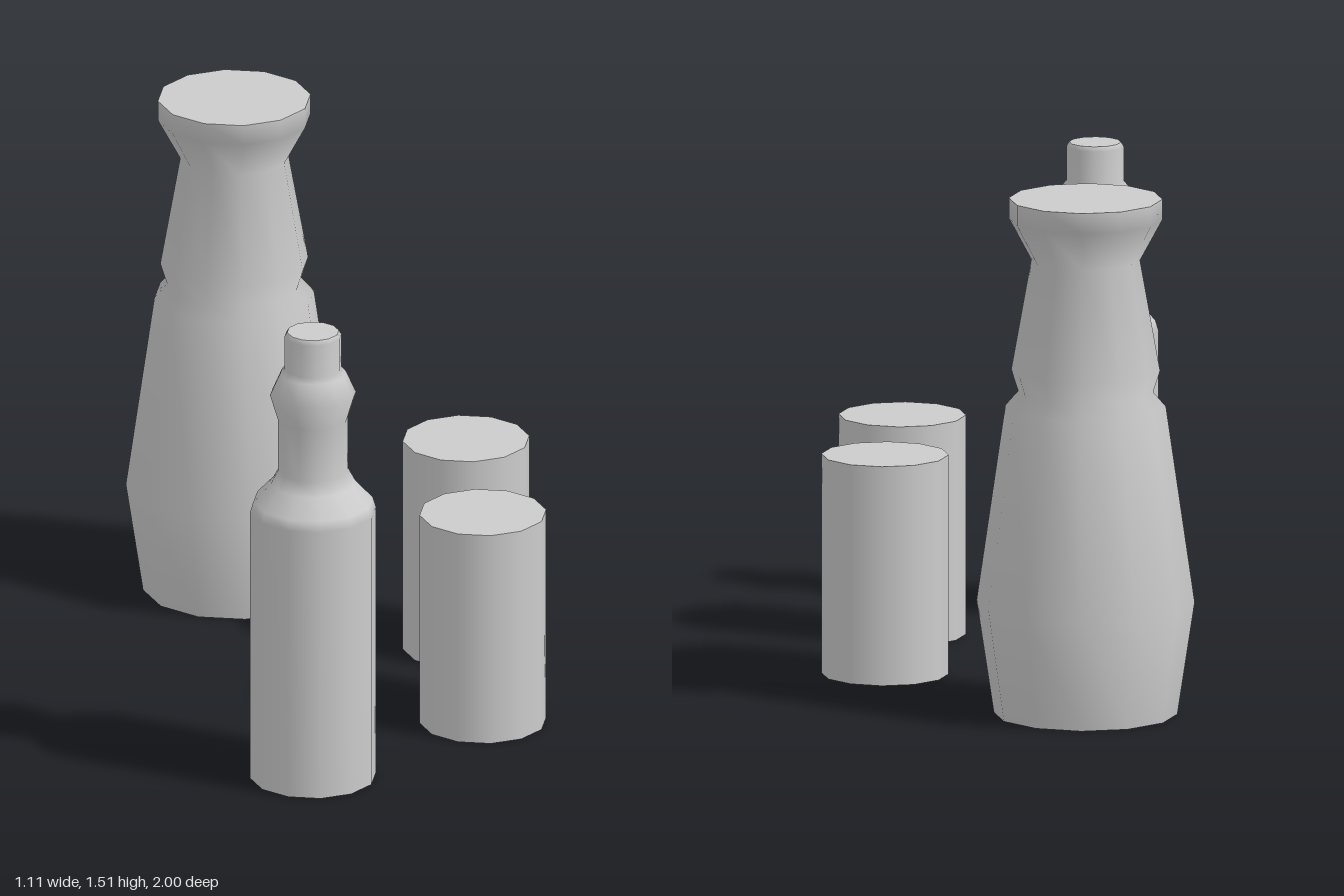
import * as THREE from 'three';

const SIDES = 12;
const clay = new THREE.MeshStandardMaterial({ color: 0xcccccc });
clay.name = 'plain grey';

// Turned solid: smooth twelve-sided wall with flat, sharp-edged end caps.
// The profile lists [radius, height] from bottom to top.
function turned(name, profile, x, z) {
  const group = new THREE.Group();
  group.name = name;
  const points = profile.map(([r, y]) => new THREE.Vector2(r, y));
  const wall = new THREE.Mesh(new THREE.LatheGeometry(points, SIDES), clay);
  wall.name = name + 'Wall';
  group.add(wall);

  const ends = [['Base', profile[0], 1], ['Top', profile[profile.length - 1], -1]];
  for (const [label, [r, y], turn] of ends) {
    const cap = new THREE.Mesh(new THREE.CircleGeometry(r, SIDES), clay);
    cap.name = name + label;
    cap.rotation.x = turn * Math.PI / 2;
    cap.position.y = y;
    group.add(cap);
  }
  group.position.set(x, 0, z);
  return group;
}

export function createModel() {
  const model = new THREE.Group();
  model.name = 'tableware';

  // Tall vase with a grooved waist and flared rim
  model.add(turned('vase', [
    [0.265, 0], [0.315, 0.33], [0.232, 0.905], [0.195, 0.947],
    [0.215, 1.01], [0.157, 1.335], [0.222, 1.455], [0.222, 1.515],
  ], -0.24, -0.685));

  // Slim bottle with rounded shoulders, neck bulge and stopper
  model.add(turned('bottle', [
    [0.183, 0], [0.183, 0.825], [0.174, 0.855], [0.123, 0.91], [0.102, 0.95],
    [0.102, 1.11], [0.125, 1.185], [0.096, 1.25], [0.083, 1.265],
    [0.083, 1.365], [0.075, 1.378],
  ], -0.195, 0.817));

  // Pair of plain cups
  const cup = [[0.184, 0], [0.184, 0.645]];
  model.add(turned('backCup', cup, 0.366, -0.133));
  model.add(turned('frontCup', cup, 0.344, 0.448));

  return model;
}
